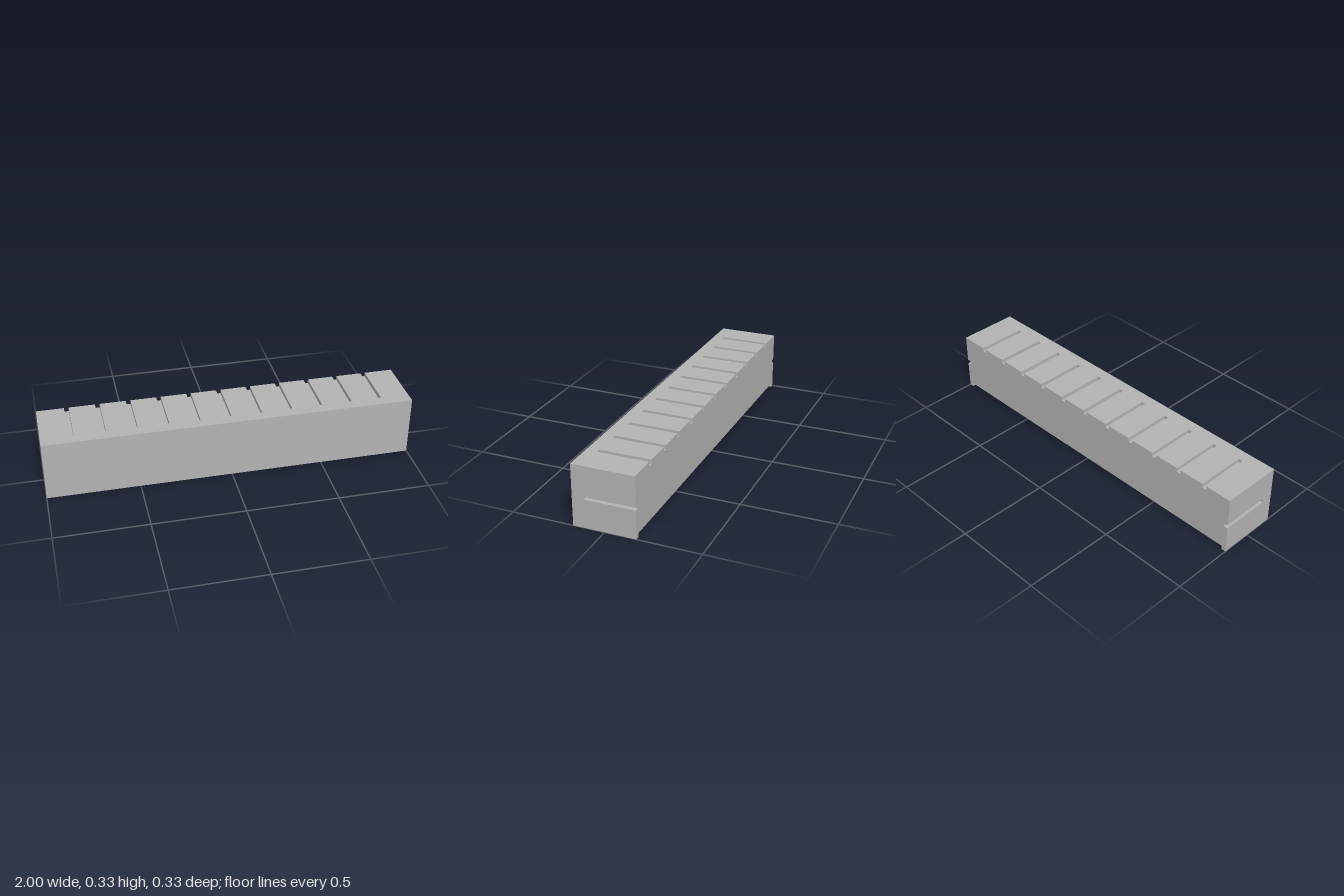
import * as THREE from 'three';

const L = 1, H = 0.333, Z = 0.167;   // half length, height, half depth
const STOP = 0.105;                  // z where every groove ends
const W = 0.025, D = 0.022;          // groove width and depth
const SLOTS = 11, PITCH = 0.167, SHIFT = -0.004;
const SIDE_Y = [0.155, 0.178];       // end groove heights

export function createModel() {
  const grey = new THREE.MeshStandardMaterial({ color: 0xb3b3b3 });
  grey.name = 'plain grey';
  const group = new THREE.Group();
  group.name = 'groovedBlock';

  // Solid front strip, which closes the grooves
  const front = new THREE.Mesh(new THREE.BoxGeometry(2 * L, H, Z - STOP), grey);
  front.name = 'frontStrip';
  front.position.set(0, H / 2, (Z + STOP) / 2);
  group.add(front);

  // Notched outline, counter-clockwise from the bottom left foot
  const [y0, y1] = SIDE_Y;
  const pts = [
    [-L, 0], [-L + W, 0], [-L + W, D], [L - W, D], [L - W, 0], [L, 0],
    [L, y0], [L - D, y0], [L - D, y1], [L, y1], [L, H],
  ];
  for (let i = SLOTS - 1; i >= 0; i--) {
    const x = (i - (SLOTS - 1) / 2) * PITCH + SHIFT;
    const a = x + W / 2, b = x - W / 2;
    pts.push([a, H], [a, H - D], [b, H - D], [b, H]);
  }
  pts.push([-L, H], [-L, y1], [-L + D, y1], [-L + D, y0], [-L, y0]);

  // Grooved body, open at the back
  const shape = new THREE.Shape(pts.map(([x, y]) => new THREE.Vector2(x, y)));
  const body = new THREE.Mesh(
    new THREE.ExtrudeGeometry(shape, { depth: STOP + Z, bevelEnabled: false }), grey);
  body.name = 'groovedBody';
  body.position.z = -Z;
  group.add(body);

  return group;
}
